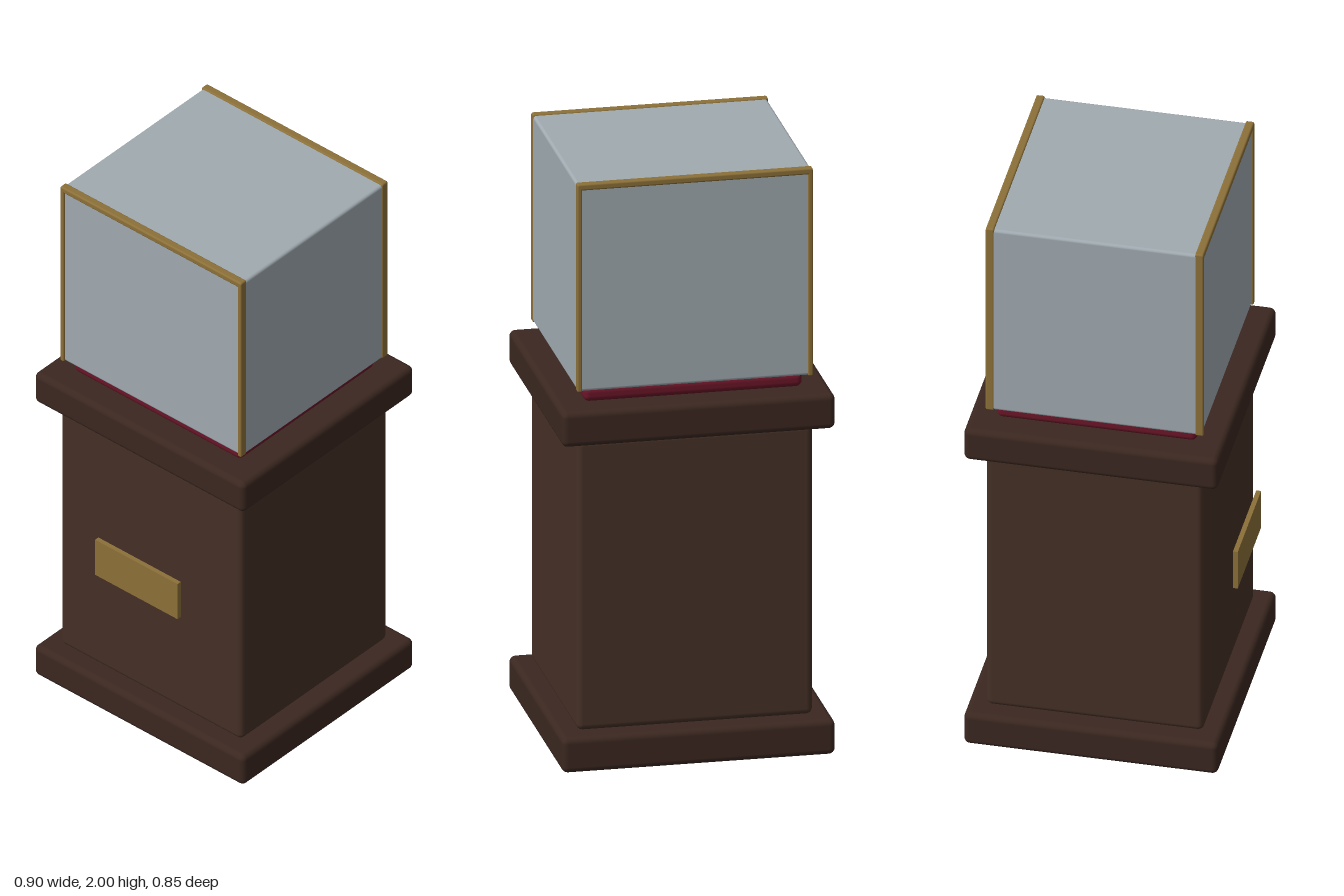
import * as THREE from 'three';
import { RoundedBoxGeometry } from 'three/addons/geometries/RoundedBoxGeometry.js';

const mat = (color) => new THREE.MeshStandardMaterial({ color });
const Z = -0.004; // the cabinet sits slightly behind centre because of the plaque

export function createModel() {
  const group = new THREE.Group();
  const darkWood = mat(0x3b2720);
  const wood = mat(0x453026);
  const brass = mat(0x8c7038);
  const velvet = mat(0x6b1528);
  const glass = mat(0xa0aab0);

  // Rounded box given by its size, bottom height and centre
  function block(name, material, [w, h, d], x, bottom, z, radius) {
    const mesh = new THREE.Mesh(new RoundedBoxGeometry(w, h, d, 3, radius), material);
    mesh.position.set(x, bottom + h / 2, z);
    mesh.name = name;
    group.add(mesh);
  }

  // Pedestal
  block('plinth', darkWood, [0.904, 0.12, 0.842], 0, 0, Z, 0.02);
  block('pedestalBody', wood, [0.78, 0.995, 0.72], 0, 0.122, Z, 0.02);
  block('pedestalTop', darkWood, [0.904, 0.12, 0.842], 0, 1.119, Z, 0.02);

  // Cushion and glass case
  block('cushion', velvet, [0.724, 0.05, 0.664], 0, 1.239, Z, 0.02);
  block('glassCase', glass, [0.776, 0.709, 0.708], 0, 1.286, Z, 0.01);

  // Brass frame: corner posts and the front and back top rails
  for (const side of [-1, 1]) {
    const z = Z + side * 0.347;
    block(side > 0 ? 'frontRail' : 'backRail', brass, [0.78, 0.022, 0.028], 0, 1.978, z, 0.006);
    for (const x of [-0.382, 0.382]) {
      block('cornerPost', brass, [0.016, 0.712, 0.028], x, 1.286, z, 0.005);
    }
  }

  // Plaque standing off the front
  const plaque = new THREE.Mesh(new THREE.BoxGeometry(0.355, 0.144, 0.016), brass);
  plaque.position.set(-0.001, 0.626, 0.417);
  plaque.name = 'plaque';
  group.add(plaque);

  return group;
}
